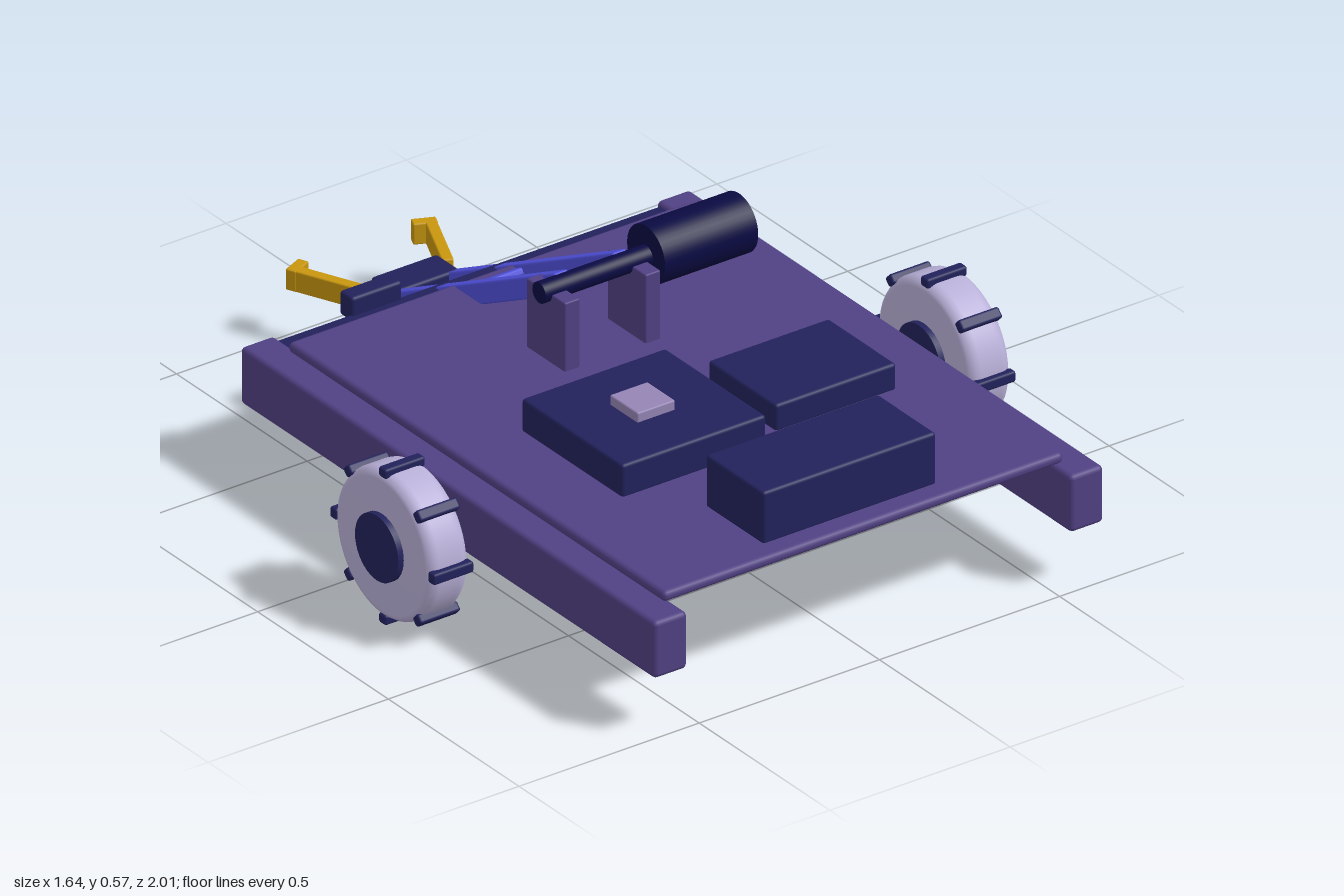
import * as THREE from 'three';
import { RoundedBoxGeometry } from 'three/addons/geometries/RoundedBoxGeometry.js';

const mat = (name, color) => {
  const m = new THREE.MeshStandardMaterial({ color });
  m.name = name;
  return m;
};

export function createModel() {
  const purple = mat('frame purple', 0x504083);
  const navy = mat('casing navy', 0x22225c);
  const dark = mat('motor dark blue', 0x0a0a42);
  const blue = mat('arm blue', 0x5050dc);
  const gold = mat('gripper gold', 0xc8960f);
  const pale = mat('tyre lilac', 0xb9b0d8);
  const lilac = mat('chip lilac', 0x9484b4);

  const model = new THREE.Group();
  model.name = 'roverRobot';

  const add = (name, geometry, material, parent = model) => {
    const mesh = new THREE.Mesh(geometry, material);
    mesh.name = name;
    parent.add(mesh);
    return mesh;
  };
  // Softly rounded box given by its extents on each axis
  const box = (name, material, [x0, x1], [y0, y1], [z0, z1], r = 0.008, parent = model) => {
    const mesh = add(name, new RoundedBoxGeometry(x1 - x0, y1 - y0, z1 - z0, 2, r), material, parent);
    mesh.position.set((x0 + x1) / 2, (y0 + y1) / 2, (z0 + z1) / 2);
    return mesh;
  };
  // Cylinder lying along x
  const rod = (name, material, r, x0, x1, y, z, parent = model) => {
    const mesh = add(name, new THREE.CylinderGeometry(r, r, x1 - x0, 40).rotateZ(Math.PI / 2), material, parent);
    mesh.position.set((x0 + x1) / 2, y, z);
    return mesh;
  };

  // Chassis
  box('deckPlate', purple, [-0.555, 0.555], [0.298, 0.325], [-0.5, 0.942], 0.012);
  box('rearBar', navy, [-0.535, 0.535], [0.19, 0.288], [-0.575, -0.5]);
  for (const s of [-1, 1]) {
    const x = s * 0.5775;
    box('sideRail', purple, [x - 0.0465, x + 0.0465], [0.15, 0.296], [-0.587, 1], 0.012);
  }

  // Deck equipment
  box('battery', navy, [-0.24, 0.24], [0.32, 0.455], [0.665, 0.887]);
  box('controllerBoard', navy, [-0.37, 0.03], [0.32, 0.406], [0.14, 0.527]);
  box('controllerChip', lilac, [-0.225, -0.12], [0.4, 0.43], [0.278, 0.385], 0.004);
  box('driverBoard', navy, [0.09, 0.425], [0.32, 0.39], [0.22, 0.48]);

  // Sensors
  box('rearSensor', navy, [-0.33, -0.19], [0.272, 0.334], [-0.612, -0.562]);
  const lens = add('sensorLens', new THREE.CylinderGeometry(0.018, 0.018, 0.016, 24).rotateX(Math.PI / 2), pale);
  lens.position.set(-0.26, 0.303, -0.612);
  box('undersideSensor', navy, [0.352, 0.46], [0.11, 0.155], [-0.47, -0.363]);

  // Wheels with drive motors
  const tyreProfile = [[0, -0.055], [0.165, -0.055], [0.175, -0.052], [0.183, -0.04],
    [0.185, -0.028], [0.185, 0.028], [0.183, 0.04], [0.175, 0.052], [0.165, 0.055], [0, 0.055]];
  const tyreGeometry = new THREE.LatheGeometry(tyreProfile.map(p => new THREE.Vector2(...p)), 48).rotateZ(Math.PI / 2);
  const treadGeometry = new RoundedBoxGeometry(0.112, 0.025, 0.028, 2, 0.006);
  for (const s of [-1, 1]) {
    const wheel = new THREE.Group();
    wheel.name = s > 0 ? 'leftWheel' : 'rightWheel';
    wheel.position.set(s * 0.752, 0.2, 0.21);
    model.add(wheel);
    add('tyre', tyreGeometry, pale, wheel);
    rod('hub', navy, 0.083, -0.07, 0.07, 0, 0, wheel);
    for (let i = 0; i < 8; i++) {
      const a = i * Math.PI / 4;
      const tread = add('tread', treadGeometry, navy, wheel);
      tread.position.set(0, Math.cos(a) * 0.1875, Math.sin(a) * 0.1875);
      tread.rotation.x = a;
    }
    rod('driveMotor', dark, 0.067, s * 0.392 - 0.14, s * 0.392 + 0.14, 0.205, 0.21);
  }

  // Lift shaft, its motor and posts
  rod('liftShaft', dark, 0.026, -0.15, 0.15, 0.5, -0.095);
  rod('liftMotor', dark, 0.073, 0.147, 0.405, 0.502, -0.095);
  for (const x of [-0.112, 0.112]) {
    box('shaftPost', purple, [x - 0.021, x + 0.021], [0.31, 0.5], [-0.167, -0.02], 0.004);
  }

  // Twin lifting arms sloping down to the gripper
  const top = new THREE.Vector3(0, 0.505, -0.095);
  const end = new THREE.Vector3(0, 0.157, -0.755);
  const slope = Math.atan2(top.y - end.y, top.z - end.z);
  for (const x of [-0.081, 0.081]) {
    const arm = add('liftArm', new RoundedBoxGeometry(0.04, 0.052, top.distanceTo(end), 2, 0.006), blue);
    arm.position.copy(top).add(end).multiplyScalar(0.5).setX(x);
    arm.rotation.x = -slope;
  }
  const brace = box('armBrace', blue, [-0.07, 0.07], [0.29, 0.33], [-0.48, -0.44], 0.006);
  brace.rotation.x = -slope;

  // Gripper
  box('gripperBase', navy, [-0.092, 0.092], [0.11, 0.198], [-0.82, -0.73]);
  for (const s of [-1, 1]) {
    const finger = new THREE.Group();
    finger.name = s > 0 ? 'leftFinger' : 'rightFinger';
    finger.position.set(s * 0.112, 0.155, -0.805);
    finger.rotation.y = -s * 0.42;
    model.add(finger);
    box('fingerBar', gold, [-0.014, 0.014], [-0.027, 0.027], [-0.187, 0], 0.004, finger);
    const tipX = -s * 0.014;
    box('fingerTip', gold, [tipX - 0.029, tipX + 0.029], [-0.027, 0.027], [-0.204, -0.176], 0.004, finger);
  }
  return model;
}
